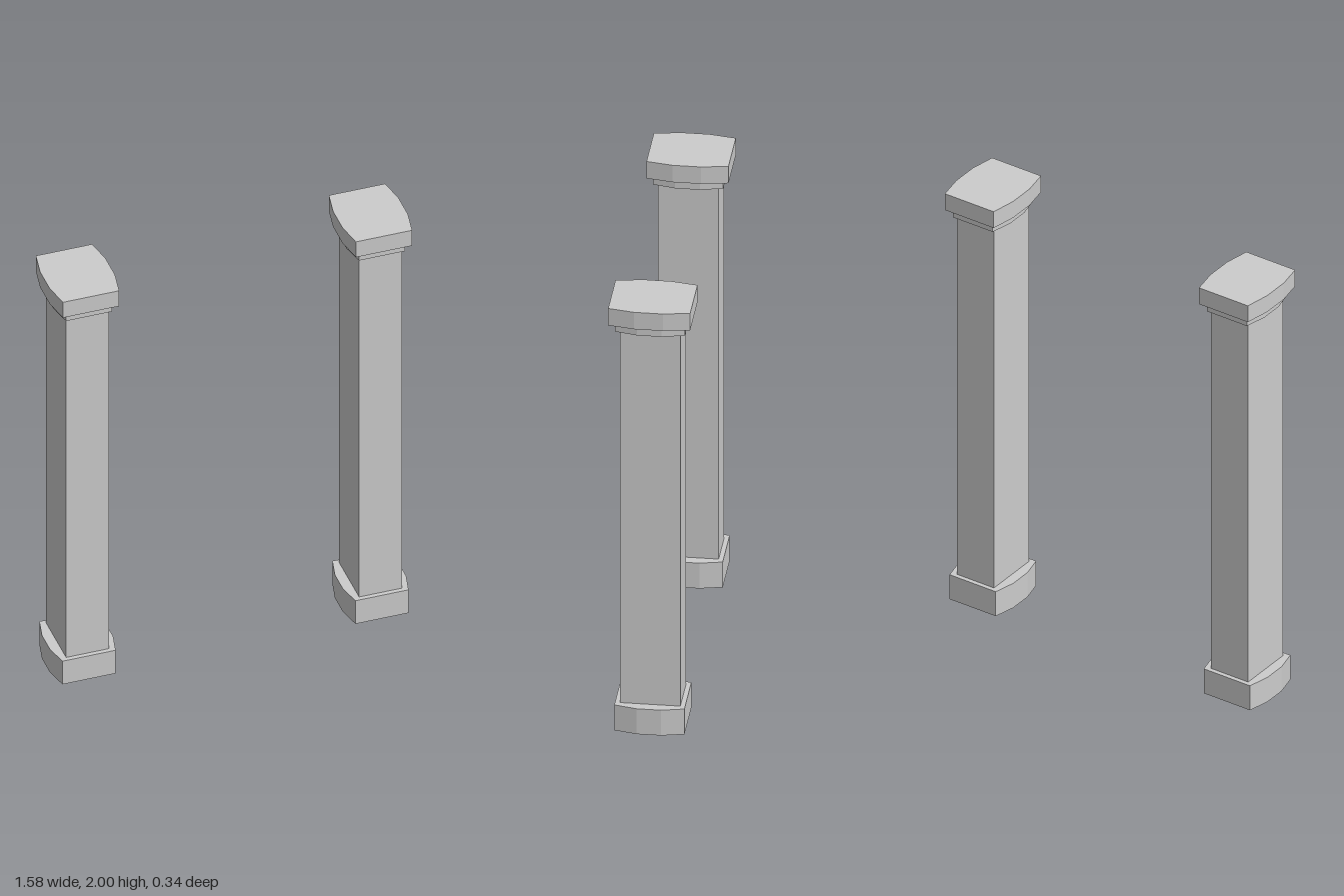
import * as THREE from 'three';

const material = new THREE.MeshStandardMaterial({ color: 0xcccccc, flatShading: true, side: THREE.DoubleSide });

// Outlines in plan: flat front and back, sides bowed in three facets
const bowed = (flat, wide, depth) => {
  const z = depth * 0.35;
  return [[flat, -depth], [wide, -z], [wide, z], [flat, depth],
    [-flat, depth], [-wide, z], [-wide, -z], [-flat, -depth]].map(([x, y]) => new THREE.Vector2(x, y));
};
const shaftOutline = [[0.094, -0.127], [0.094, 0.127], [-0.094, 0.127], [-0.094, -0.127]]
  .map(([x, y]) => new THREE.Vector2(x, y));
const baseOutline = bowed(0.117, 0.139, 0.147);
const neckOutline = bowed(0.101, 0.123, 0.147);
const capOutline = bowed(0.124, 0.144, 0.172);

// Upright walls following an outline, open at both ends
function walls(name, outline, y0, y1) {
  const pos = [];
  outline.forEach((a, i) => {
    const b = outline[(i + 1) % outline.length];
    pos.push(a.x, y0, -a.y, b.x, y0, -b.y, b.x, y1, -b.y);
    pos.push(a.x, y0, -a.y, b.x, y1, -b.y, a.x, y1, -a.y);
  });
  const geo = new THREE.BufferGeometry();
  geo.setAttribute('position', new THREE.Float32BufferAttribute(pos, 3));
  geo.computeVertexNormals();
  const mesh = new THREE.Mesh(geo, material);
  mesh.name = name;
  return mesh;
}

// Level plate filling an outline, with an optional opening; facing is 1 for up, -1 for down
function plate(name, outline, opening, y, facing) {
  const shape = new THREE.Shape(outline);
  if (opening) shape.holes.push(new THREE.Path(opening));
  const geo = new THREE.ShapeGeometry(shape);
  geo.rotateX(-facing * Math.PI / 2);
  geo.translate(0, y, 0);
  const mesh = new THREE.Mesh(geo, material);
  mesh.name = name;
  return mesh;
}

function createPillar(name, x) {
  const pillar = new THREE.Group();
  pillar.name = name;
  pillar.add(
    // Hollow base, open underneath
    walls('baseWalls', baseOutline, 0, 0.12),
    plate('baseLedge', baseOutline, shaftOutline, 0.12, 1),
    // Rectangular shaft
    walls('shaft', shaftOutline, 0.12, 1.88),
    // Stepped capital
    plate('neckUnderside', neckOutline, shaftOutline, 1.88, -1),
    walls('neckWalls', neckOutline, 1.88, 1.92),
    plate('capUnderside', capOutline, neckOutline, 1.92, -1),
    walls('capWalls', capOutline, 1.92, 2),
    plate('capTop', capOutline, null, 2, 1)
  );
  pillar.position.x = x;
  return pillar;
}

export function createModel() {
  const model = new THREE.Group();
  model.name = 'pillarPair';
  model.add(createPillar('leftPillar', 0.645), createPillar('rightPillar', -0.645));
  return model;
}
